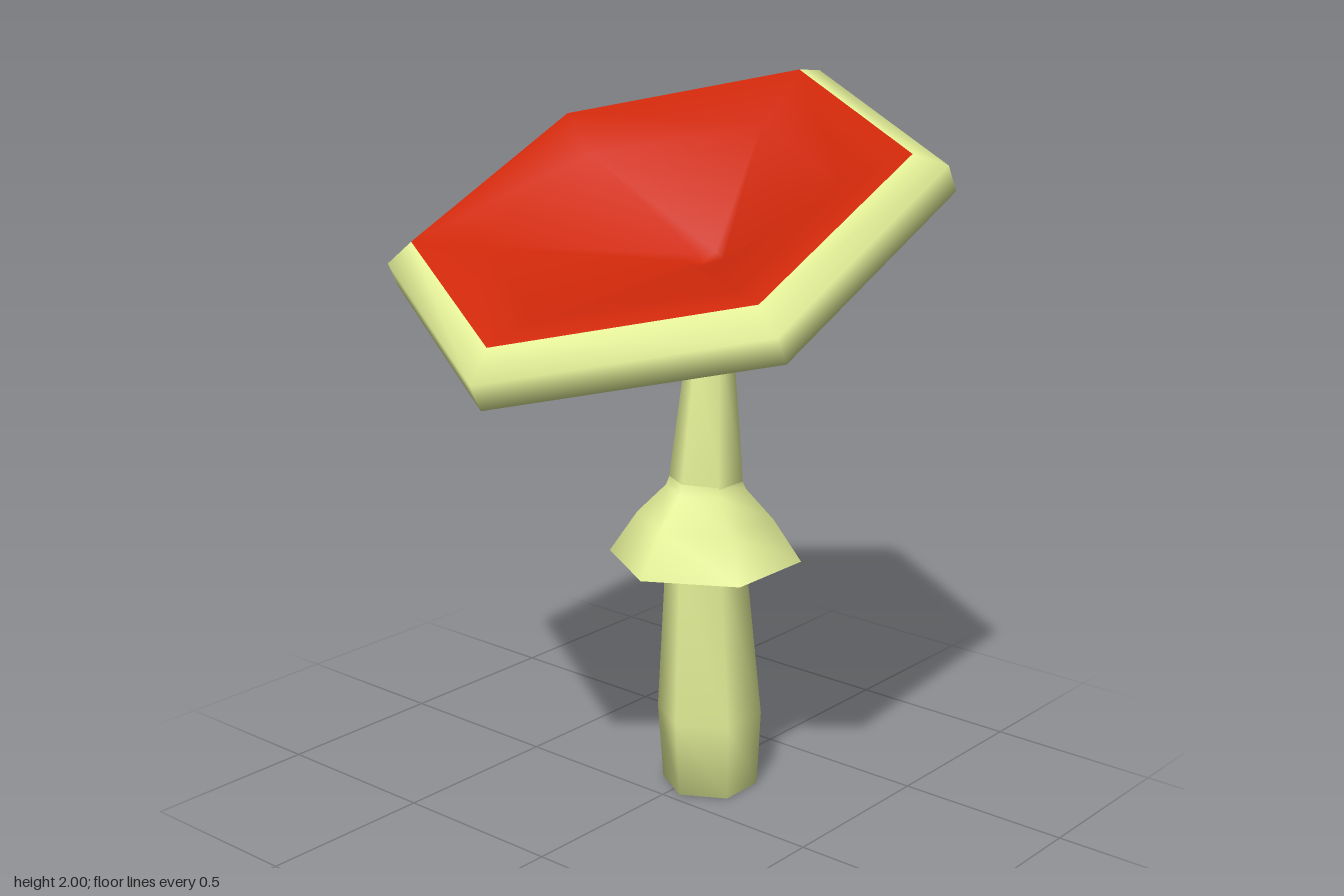
import * as THREE from 'three';

const CREAM = 0xe4f098, RED = 0xcf280a;

// Hexagonal ring with tips on z: front tip (z, y), back tip (z, y), half width in x, x centre
const ring = (zf, yf, zb, yb, w, cx = 0) => {
  const points = [];
  for (let i = 0; i < 6; i++) {
    const a = i * Math.PI / 3, t = (1 + Math.cos(a)) / 2;
    points.push(cx + w * Math.sin(a) / Math.sin(Math.PI / 3), yb + (yf - yb) * t, zb + (zf - zb) * t);
  }
  return points;
};

// Level ring at height y
const level = (y, zf, zb, w, cx) => ring(zf, y, zb, y, w, cx);

// Index of the bands between ring number from and ring number to
const bands = (from, to) => {
  const index = [];
  for (let k = from; k < to; k++) {
    for (let i = 0; i < 6; i++) {
      const a = k * 6 + i, b = k * 6 + (i + 1) % 6;
      index.push(a, b, a + 6, b, b + 6, a + 6);
    }
  }
  return index;
};

// Smooth skin through all rings, of which only the bands from..to are kept
function loft(name, color, rings, from = 0, to = rings.length - 1) {
  const geometry = new THREE.BufferGeometry();
  geometry.setAttribute('position', new THREE.Float32BufferAttribute(rings.flat(), 3));
  geometry.setIndex(bands(0, rings.length - 1));
  geometry.computeVertexNormals();
  geometry.setIndex(bands(from, to));
  const material = new THREE.MeshStandardMaterial({ color, side: THREE.DoubleSide });
  const mesh = new THREE.Mesh(geometry, material);
  mesh.name = name;
  return mesh;
}

export function createModel() {
  const group = new THREE.Group();
  group.name = 'mushroom';

  // Stem: closed swollen foot, narrowing and leaning back towards the cap
  group.add(loft('stem', CREAM, [
    level(0, -0.165, -0.165, 0, 0.037),
    level(0, -0.03, -0.303, 0.119, 0.037),
    level(0.22, -0.018, -0.317, 0.13, 0.032),
    level(0.68, -0.054, -0.278, 0.1, 0.017),
    level(0.91, -0.065, -0.273, 0.09, 0.013),
    level(1.3, -0.135, -0.257, 0.056, 0.005),
    level(1.46, -0.16, -0.25, 0.04, 0.004),
  ]));

  // Flared skirt around the stem, hollow below
  const hem = level(0.68, 0.107, -0.442, 0.236, 0.012);
  group.add(loft('skirt', CREAM, [
    hem,
    level(0.8, 0.025, -0.36, 0.168, 0.012),
    level(0.885, -0.055, -0.283, 0.097, 0.013),
    level(0.915, -0.066, -0.27, 0.087, 0.013),
  ]));
  group.add(loft('skirtUnderside', CREAM, [
    level(0.82, -0.06, -0.273, 0.092, 0.013),
    level(0.78, 0.01, -0.345, 0.155, 0.012),
    hem,
  ]));

  // Tilted cap: underside from the neck outwards, thick rim, then the sunken bowl
  const capRings = [
    ring(-0.15, 1.44, -0.25, 1.46, 0.042, 0.004),
    ring(0, 1.402, -0.3, 1.54, 0.13),
    ring(0.685, 1.28, -0.72, 1.92, 0.668),
    ring(0.72, 1.35, -0.68, 1.99, 0.668),
    ring(0.66, 1.435, -0.585, 2.0, 0.595),
    ring(0.48, 1.472, -0.42, 1.87, 0.44),
    ring(-0.12, 1.51, -0.22, 1.54, 0.05),
    level(1.515, -0.17, -0.17, 0),
  ];
  group.add(loft('cap', CREAM, capRings, 0, 4));
  group.add(loft('capBowl', RED, capRings, 4, 7));

  return group;
}
